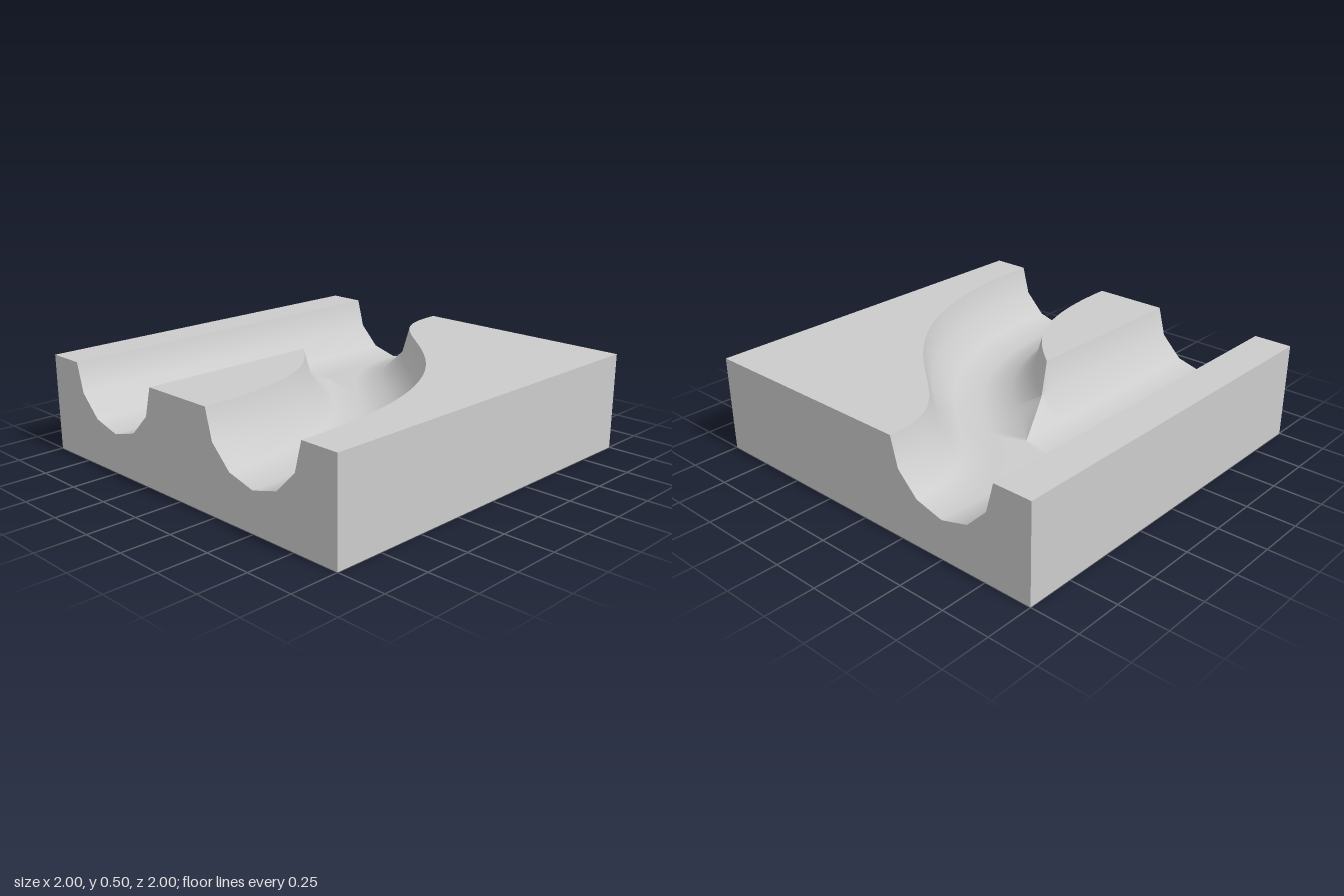
import * as THREE from 'three';
import { toCreasedNormals } from 'three/addons/utils/BufferGeometryUtils.js';

const TOP = 0.5, R = 0.3, LANE = 0.5, COLUMNS = 200, SEGMENTS = 48;

// Half-round channel in six flats: sideways offset d and height y
const channel = Array.from({ length: 7 }, (_, i) => {
  const a = (i / 6) * Math.PI;
  return { d: -R * Math.cos(a), y: TOP - R * Math.sin(a) };
});

// Centre line of the branch, written as (x, z)
const branch = new THREE.CubicBezierCurve(
  new THREE.Vector2(-1, LANE), new THREE.Vector2(0.42, LANE),
  new THREE.Vector2(0.08, -LANE), new THREE.Vector2(1, -LANE));

// One offset line along the branch for each channel point
const branchLines = channel.map(({ d }) => Array.from({ length: SEGMENTS + 1 }, (_, i) => {
  const p = branch.getPoint(i / SEGMENTS), t = branch.getTangent(i / SEGMENTS);
  return [p.x - t.y * d, p.y + t.x * d];
}));

// Linear interpolation in a list of [key, value] pairs, held at both ends
function sample(pairs, key) {
  if (key <= pairs[0][0]) return pairs[0][1];
  for (let i = 1; i < pairs.length; i++) {
    const [k0, v0] = pairs[i - 1], [k1, v1] = pairs[i];
    if (key <= k1) return v0 + (v1 - v0) * (key - k0) / (k1 - k0 || 1);
  }
  return pairs[pairs.length - 1][1];
}

// Upper outline [z, y] of the block at x, back to front
const straight = channel.map(({ d, y }) => [d - LANE, y]);
function section(x) {
  const curved = channel.map(({ y }, i) => [sample(branchLines[i], x), y]);
  let left = straight, right = curved;
  if (curved[0][0] < straight[6][0]) {
    // The channels overlap: find the ridge between them and trim both there
    let lo = straight[3][0], hi = Math.max(lo, curved[3][0]);
    for (let i = 0; i < 40; i++) {
      const mid = (lo + hi) / 2;
      if (sample(straight, mid) < sample(curved, mid)) lo = mid; else hi = mid;
    }
    const ridge = [lo, Math.min(sample(straight, lo), sample(curved, lo))];
    left = straight.map(p => (p[0] < lo ? p : ridge));
    right = curved.map(p => (p[0] > lo ? p : ridge));
  }
  return [[-1, TOP], ...left, ...right, [1, TOP]];
}

function blockGeometry() {
  const pos = [];
  const ab = new THREE.Vector3(), ac = new THREE.Vector3();
  const tri = (a, b, c) => {
    ab.subVectors(b, a);
    ac.subVectors(c, a);
    if (ab.cross(ac).length() > 1e-9) for (const p of [a, b, c]) pos.push(p.x, p.y, p.z);
  };
  const quad = (a, b, c, d) => { tri(a, b, c); tri(a, c, d); };

  const rings = Array.from({ length: COLUMNS + 1 }, (_, i) => {
    const x = -1 + 2 * i / COLUMNS;
    return [...section(x), [1, 0], [-1, 0]].map(([z, y]) => new THREE.Vector3(x, y, z));
  });

  // Skin along x: top with channels, front, underside and back
  const n = rings[0].length;
  for (let i = 0; i < COLUMNS; i++) {
    for (let j = 0; j < n; j++) {
      const k = (j + 1) % n;
      quad(rings[i][j], rings[i][k], rings[i + 1][k], rings[i + 1][j]);
    }
  }

  // End faces, filled down to the ground
  const foot = p => new THREE.Vector3(p.x, 0, p.z);
  const first = rings[0], last = rings[COLUMNS];
  for (let j = 0; j < n - 3; j++) {
    quad(foot(last[j]), last[j], last[j + 1], foot(last[j + 1]));
    quad(foot(first[j + 1]), first[j + 1], first[j], foot(first[j]));
  }

  const geometry = new THREE.BufferGeometry();
  geometry.setAttribute('position', new THREE.Float32BufferAttribute(pos, 3));
  return toCreasedNormals(geometry, THREE.MathUtils.degToRad(42));
}

export function createModel() {
  const model = new THREE.Group();
  model.name = 'junctionTrackTile';
  const block = new THREE.Mesh(blockGeometry(), new THREE.MeshStandardMaterial({ color: 0xcccccc }));
  block.name = 'groovedBlock';
  model.add(block);
  return model;
}
